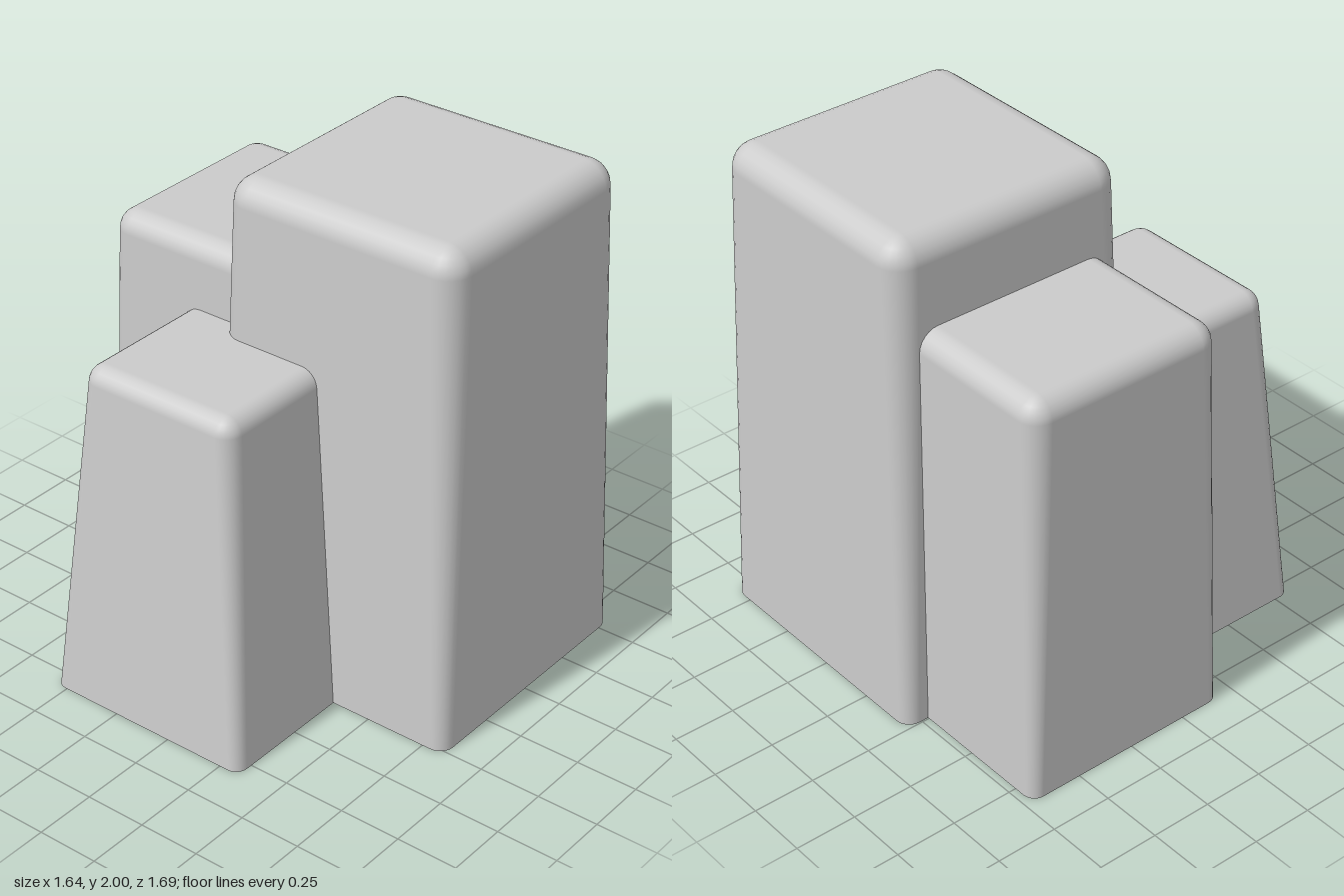
import * as THREE from 'three';

const material = new THREE.MeshStandardMaterial({ color: 0xcccccc, side: THREE.DoubleSide });
const CORNER = 6; // segments per vertical corner
const BEVEL = 6; // segments of the rounded top edge

// Tapered square block with rounded top and corners, open underneath
function taperedBlock(name, x, z, height, baseHalf, topHalf, baseRadius, radius) {
  const tilt = Math.atan((baseHalf - topHalf) / height);
  const rings = [{ y: 0, half: baseHalf, r: baseRadius, a: tilt }];
  for (let i = 0; i <= BEVEL; i++) {
    const a = THREE.MathUtils.lerp(tilt, Math.PI / 2, i / BEVEL);
    rings.push({
      y: height - radius * (1 - Math.sin(a)),
      half: topHalf - radius * (1 - Math.cos(a)),
      r: radius * Math.cos(a),
      a,
    });
  }

  const positions = [], normals = [], indices = [];
  const count = 4 * (CORNER + 1);
  for (const { y, half, r, a } of rings) {
    for (let side = 0; side < 4; side++) {
      const mid = (side + 0.5) * Math.PI / 2;
      const cx = Math.sign(Math.cos(mid)) * (half - r);
      const cz = Math.sign(Math.sin(mid)) * (half - r);
      for (let j = 0; j <= CORNER; j++) {
        const t = (side + j / CORNER) * Math.PI / 2;
        positions.push(cx + r * Math.cos(t), y, cz + r * Math.sin(t));
        normals.push(Math.cos(t) * Math.cos(a), Math.sin(a), Math.sin(t) * Math.cos(a));
      }
    }
  }
  // Walls and rounded edge
  for (let i = 0; i < rings.length - 1; i++) {
    for (let j = 0; j < count; j++) {
      const a = i * count + j, b = i * count + (j + 1) % count;
      indices.push(a, a + count, b, b, a + count, b + count);
    }
  }
  // Flat top
  const last = (rings.length - 1) * count, step = CORNER + 1;
  indices.push(last, last + 2 * step, last + step, last, last + 3 * step, last + 2 * step);

  const geometry = new THREE.BufferGeometry();
  geometry.setAttribute('position', new THREE.Float32BufferAttribute(positions, 3));
  geometry.setAttribute('normal', new THREE.Float32BufferAttribute(normals, 3));
  geometry.setIndex(indices);
  const mesh = new THREE.Mesh(geometry, material);
  mesh.name = name;
  mesh.position.set(x, 0, z);
  return mesh;
}

export function createModel() {
  const group = new THREE.Group();
  group.name = 'blockCluster';
  group.add(
    taperedBlock('tallFrontBlock', 0.275, 0.3, 2, 0.545, 0.503, 0.06, 0.1),
    taperedBlock('middleBackBlock', 0.27, -0.395, 1.65, 0.45, 0.418, 0.05, 0.083),
    taperedBlock('shortSideBlock', -0.378, -0.11, 1.375, 0.447, 0.343, 0.05, 0.07),
  );
  return group;
}
